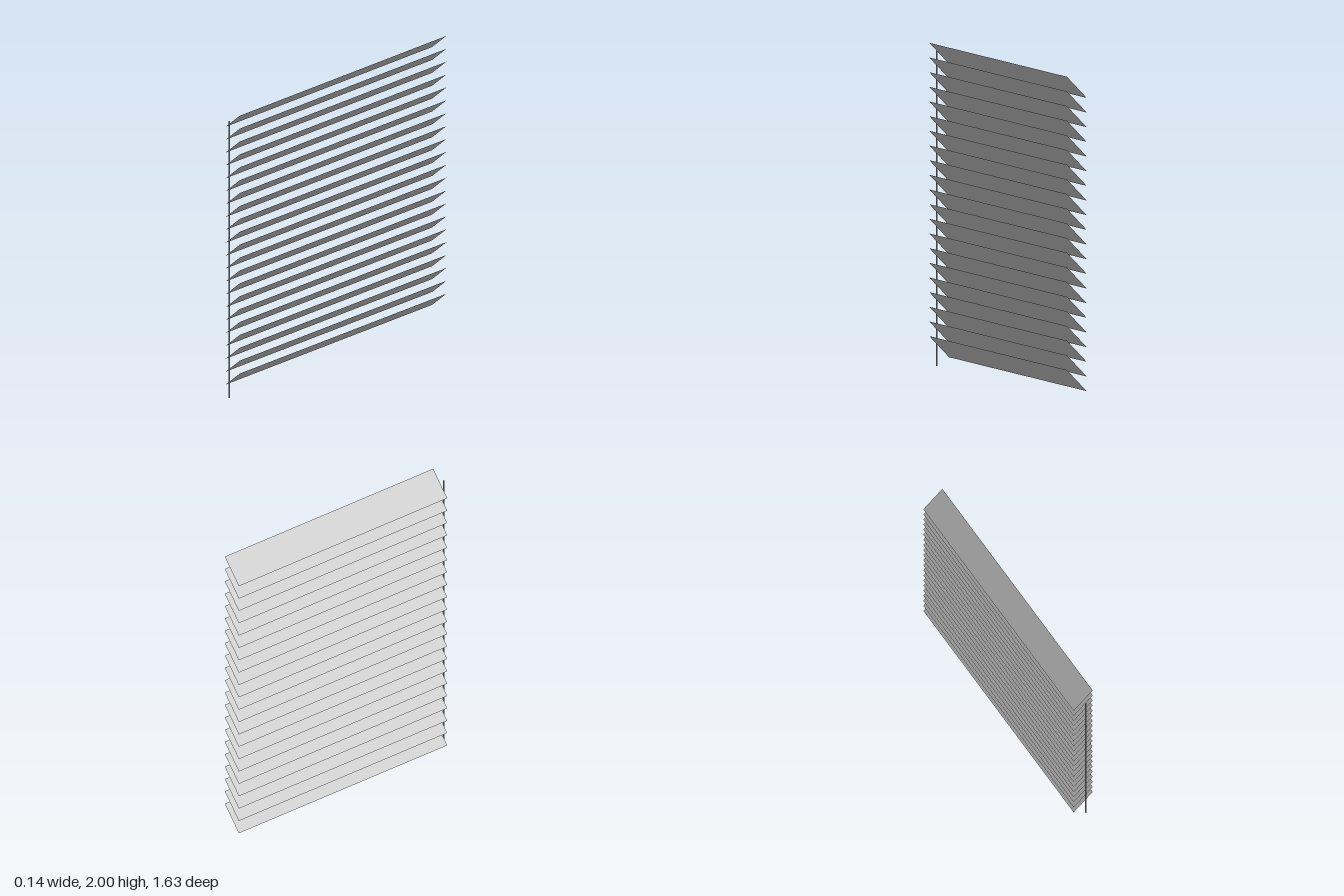
import * as THREE from 'three';

export function createModel() {
  const model = new THREE.Group();
  model.name = 'verticalStackBlind';

  const slatGrey = new THREE.MeshStandardMaterial({ color: 0xb0b0b0, side: THREE.DoubleSide });
  slatGrey.name = 'slat grey';

  // Tilted slats: paper-thin, upper edge leaning toward +x
  const SLATS = 21, TOP = 2, PITCH = 0.0904, RISE = 0.141;
  const BACK = -0.814, FRONT = 0.782;
  const slatGeo = new THREE.PlaneGeometry(0.2, FRONT - BACK);
  slatGeo.rotateX(-Math.PI / 2);
  slatGeo.rotateZ(Math.PI / 4);

  const slats = new THREE.Group();
  slats.name = 'slats';
  for (let i = 0; i < SLATS; i++) {
    const slat = new THREE.Mesh(slatGeo, slatGrey);
    slat.name = `slat${i + 1}`;
    slat.position.set(0, TOP - RISE / 2 - i * PITCH, (FRONT + BACK) / 2);
    slats.add(slat);
  }
  model.add(slats);

  // Thin open-ended control rod beside the front end of the slats
  const ROD_HEIGHT = 1.94;
  const rod = new THREE.Mesh(
    new THREE.CylinderGeometry(0.004, 0.004, ROD_HEIGHT, 8, 1, true),
    slatGrey
  );
  rod.name = 'controlRod';
  rod.position.set(0, ROD_HEIGHT / 2, 0.81);
  model.add(rod);

  return model;
}
